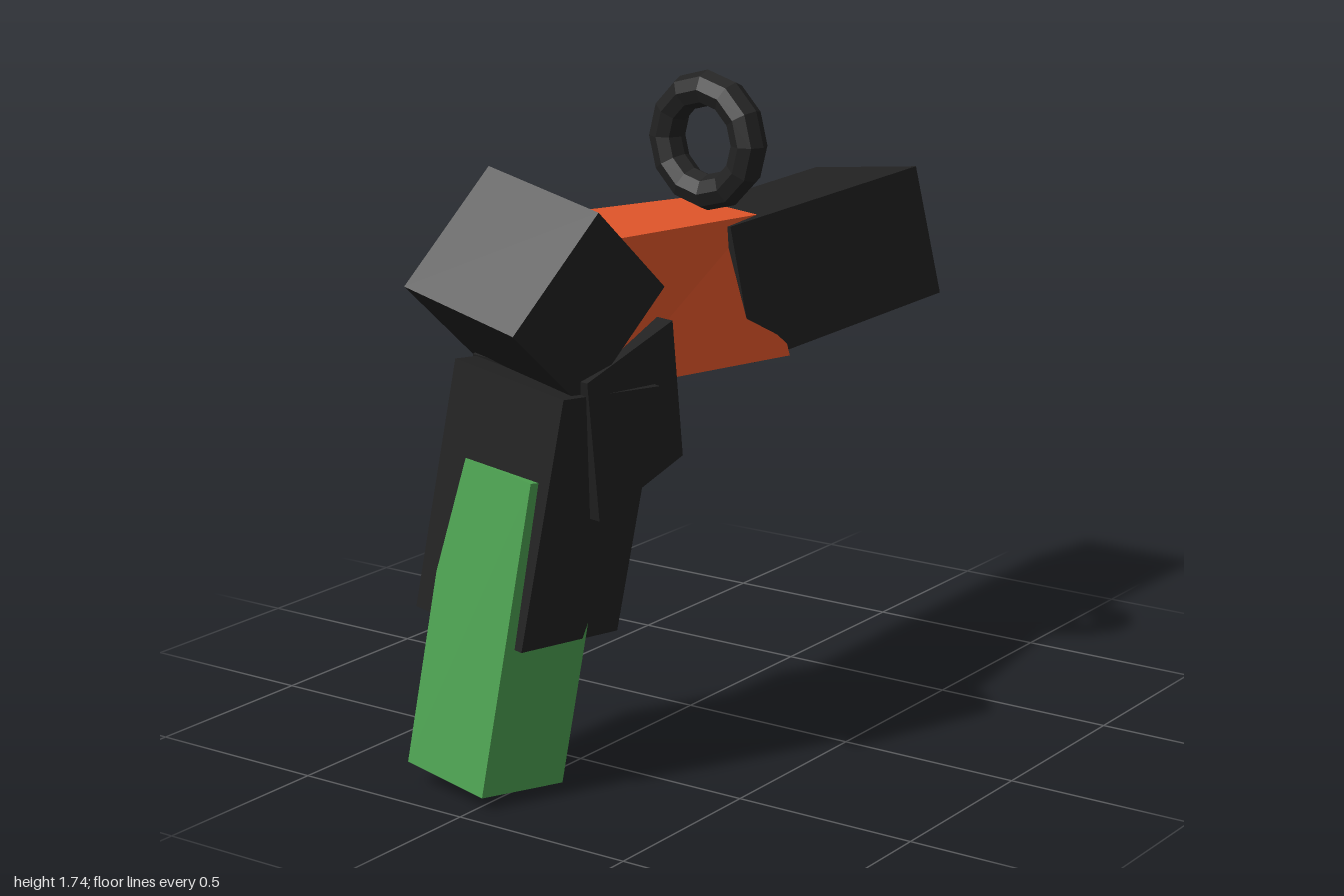
import * as THREE from 'three';

const BLACK = 0x222222, ORANGE = 0xe6572b, GREEN = 0x4fa553;

const material = (color) => new THREE.MeshStandardMaterial({ color, flatShading: true });

// Box bent onto eight corners: corner index = x + 2y + 4z (0 = low side, 1 = high side)
function bentBox(name, color, corners) {
  const geometry = new THREE.BoxGeometry(1, 1, 1);
  const position = geometry.attributes.position;
  for (let i = 0; i < position.count; i++) {
    const index = (position.getX(i) > 0 ? 1 : 0) + (position.getY(i) > 0 ? 2 : 0) + (position.getZ(i) > 0 ? 4 : 0);
    position.setXYZ(i, ...corners[index]);
  }
  geometry.computeVertexNormals();
  const mesh = new THREE.Mesh(geometry, material(color));
  mesh.name = name;
  return mesh;
}

// Slanted box from its right-low-back corner and three edge vectors
function slantedBox(name, color, origin, ex, ey, ez) {
  const corners = [];
  for (let i = 0; i < 8; i++) {
    corners.push(origin.map((o, k) => o + (i & 1 ? ex[k] : 0) + (i & 2 ? ey[k] : 0) + (i & 4 ? ez[k] : 0)));
  }
  return bentBox(name, color, corners);
}

export function createModel() {
  const model = new THREE.Group();
  model.name = 'model';

  // Tapered, slightly twisted middle section
  model.add(bentBox('body', ORANGE, [
    [-0.18, 0.98, -0.25], [0.18, 0.97, -0.206], [-0.18, 1.355, -0.246], [0.09, 1.347, -0.18],
    [-0.19, 1.05, 0.65], [0.185, 1.045, 0.62], [-0.185, 1.43, 0.68], [0.185, 1.42, 0.62],
  ]));

  // Long block at the back
  model.add(bentBox('rearBlock', BLACK, [
    [-0.17, 0.96, -1.0], [0.2, 1.01, -0.957], [-0.22, 1.33, -0.95], [0.14, 1.375, -0.913],
    [-0.175, 0.965, -0.07], [0.17, 0.98, -0.05], [-0.216, 1.305, -0.04], [0.12, 1.345, -0.01],
  ]));

  // Tilted block at the front
  model.add(slantedBox('frontBlock', BLACK,
    [-0.19, 1.088, 0.67], [0.363, -0.07, 0.04], [0.08, 0.27, -0.235], [0.01, 0.232, 0.285]));

  // Joint under the body
  model.add(slantedBox('joint', BLACK,
    [-0.185, 0.827, 0.28], [0.37, -0.02, 0.02], [0.02, 0.37, 0.073], [0, -0.09, 0.36]));

  // Hanging grip and the coloured insert below it
  model.add(slantedBox('grip', BLACK,
    [-0.23, 0.43, 0.48], [0.35, -0.052, 0.02], [0.095, 0.645, -0.057], [-0.025, 0.036, 0.366]));
  model.add(slantedBox('gripInsert', GREEN,
    [-0.21, 0.03, 0.62], [0.275, -0.025, 0.045], [0.1, 0.81, -0.085], [-0.045, 0.033, 0.272]));

  // Ring above the body
  const ring = new THREE.Mesh(new THREE.TorusGeometry(0.138, 0.048, 8, 12), material(BLACK));
  ring.name = 'ring';
  ring.position.set(0.027, 1.56, -0.04);
  ring.rotation.y = -0.08;
  model.add(ring);

  return model;
}
